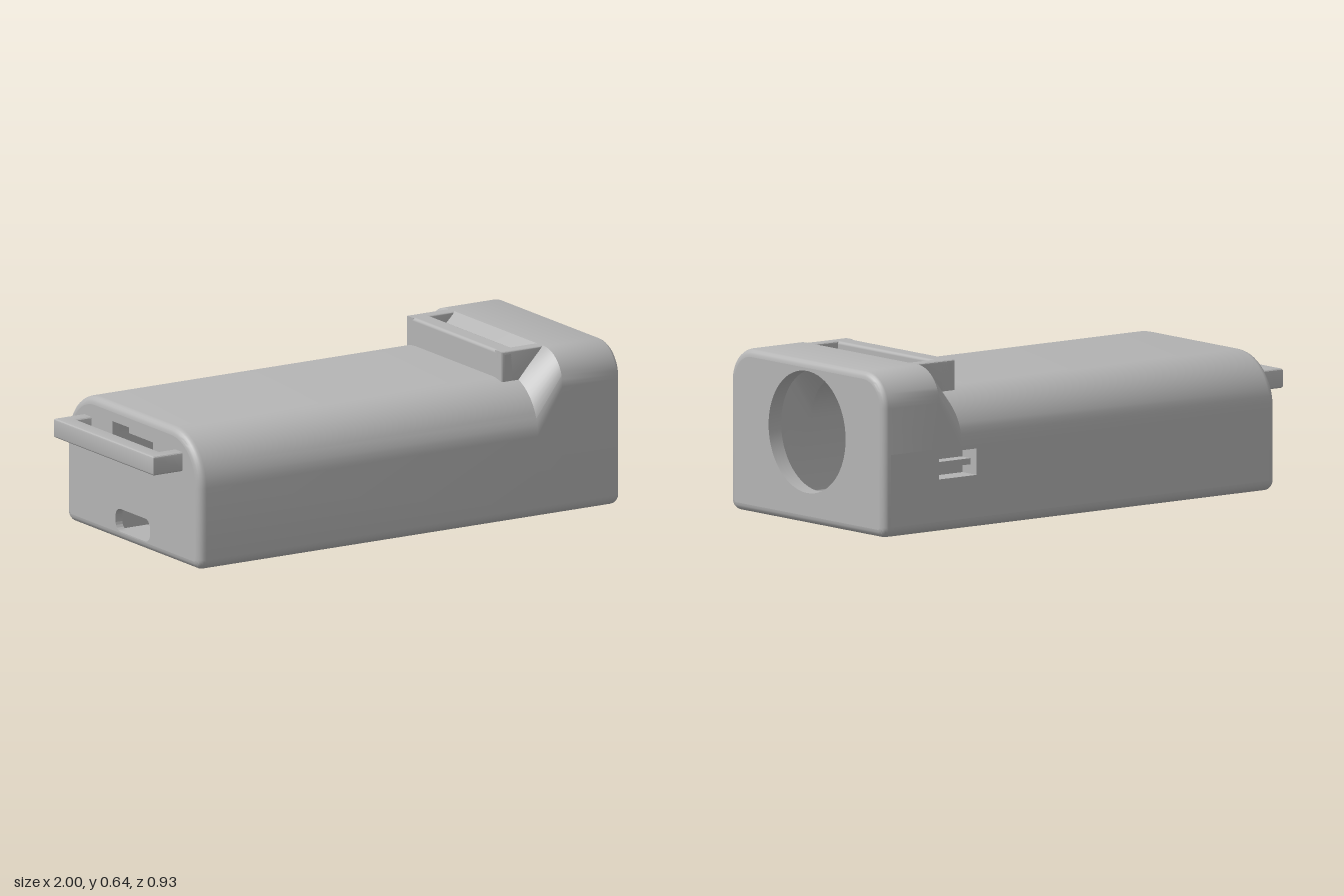
import * as THREE from 'three';
import { toCreasedNormals } from 'three/addons/utils/BufferGeometryUtils.js';
import { RoundedBoxGeometry } from 'three/addons/geometries/RoundedBoxGeometry.js';

const grey = new THREE.MeshStandardMaterial({ color: 0xb4b4b4, side: THREE.DoubleSide });
grey.name = 'grey plastic';

const W = 0.465, BOTTOM = 0.025, BOTTOM_R = 0.04, SIDE_TOP = 0.34, FILLET = 0.03, WALL = 0.03;
const LOW = { top: 0.54, r: 0.2 };    // main body section
const HIGH = { top: 0.645, r: 0.13 }; // raised head section

// Half the section runs bottom to top; the mirror completes it. Points are [z, y].
function section({ top, r }, inset) {
  const half = [];
  const arc = (cz, cy, rad, from, n) => {
    for (let i = 0; i <= n; i++) {
      const a = from + (i / n) * Math.PI / 2;
      half.push([cz + rad * Math.cos(a), cy + rad * Math.sin(a)]);
    }
  };
  arc(W - BOTTOM_R, BOTTOM + BOTTOM_R, BOTTOM_R - inset, -Math.PI / 2, 6);
  half.push([W - inset, SIDE_TOP]);
  arc(W - r, top - r, r - inset, 0, 14);
  return [...half, ...half.slice().reverse().map(([z, y]) => [-z, y])];
}

// Skin lofted along x, leaving out the floor and right side where panels go
function loft(stations) {
  const rings = stations.map(s => section(s.form, s.inset));
  const n = rings[0].length, pos = [], idx = [];
  rings.forEach((ring, i) => ring.forEach(([z, y]) => pos.push(stations[i].x, y, z)));
  for (let i = 0; i < rings.length - 1; i++) {
    for (let j = 0; j < n; j++) {
      const flat = stations[i].flat && stations[i + 1].flat;
      if (flat && (j === n - 1 || j === n - 8)) continue;
      const a = i * n + j, b = i * n + (j + 1) % n, c = a + n, d = b + n;
      idx.push(a, c, b, b, c, d);
    }
  }
  const g = new THREE.BufferGeometry();
  g.setAttribute('position', new THREE.Float32BufferAttribute(pos, 3));
  g.setIndex(idx);
  return toCreasedNormals(g, 0.5);
}

const polygon = pts => new THREE.Shape(pts.map(p => new THREE.Vector2(p[0], p[1])));
const rect = (x0, y0, x1, y1) => polygon([[x0, y0], [x1, y0], [x1, y1], [x0, y1]]);
function circle(x, y, r) {
  return new THREE.Shape().absarc(x, y, r, 0, Math.PI * 2, false);
}
function slot(x0, y0, x1, y1, r) {
  const s = new THREE.Shape();
  s.absarc(x1 - r, y0 + r, r, -Math.PI / 2, 0, false);
  s.absarc(x1 - r, y1 - r, r, 0, Math.PI / 2, false);
  s.absarc(x0 + r, y1 - r, r, Math.PI / 2, Math.PI, false);
  s.absarc(x0 + r, y0 + r, r, Math.PI, Math.PI * 1.5, false);
  s.closePath();
  return s;
}
function plate(shape, holes, depth, bevel = 0) {
  shape.holes.push(...holes);
  const g = new THREE.ExtrudeGeometry(shape, {
    depth: depth - 2 * bevel, curveSegments: 32, bevelEnabled: bevel > 0,
    bevelSize: bevel, bevelThickness: bevel, bevelOffset: -bevel, bevelSegments: 3,
  });
  return toCreasedNormals(g.translate(0, 0, bevel), 0.5);
}

export function createModel() {
  const model = new THREE.Group();
  model.name = 'deviceCase';
  const add = (name, geometry, x = 0, y = 0, z = 0) => {
    const m = new THREE.Mesh(geometry, grey);
    m.name = name;
    m.position.set(x, y, z);
    model.add(m);
    return m;
  };
  const box = (name, x0, x1, y0, y1, z0, z1) => add(name,
    new THREE.BoxGeometry(x1 - x0, y1 - y0, z1 - z0), (x0 + x1) / 2, (y0 + y1) / 2, (z0 + z1) / 2);

  // Outer skin with rounded ends
  const stations = [];
  const STEPS = 5;
  for (let i = 0; i <= STEPS; i++) {
    const a = (i / STEPS) * Math.PI / 2;
    stations.push({ x: -0.87 + FILLET * (1 - Math.sin(a)), inset: FILLET * (1 - Math.cos(a)), form: LOW, flat: i === 0 });
  }
  stations.reverse();
  stations.forEach(s => { s.x = -0.87 + FILLET - (s.x + 0.87 - FILLET) * -1; });
  const rear = stations.sort((p, q) => p.x - q.x);
  const front = rear.map(s => ({ ...s, x: 0.13 - s.x, form: HIGH })).reverse();
  add('outerShell', loft([...rear,
    { x: 0.63, inset: 0, form: LOW, flat: true }, { x: 0.74, inset: 0, form: HIGH, flat: true }, ...front]));

  // Inner skin
  add('innerShell', loft([[-0.84, LOW], [0.63, LOW], [0.74, HIGH], [0.97, HIGH]]
    .map(([x, form]) => ({ x, form, inset: WALL, flat: true }))));

  // End walls: lens opening at the head, port and clip window at the tail
  const lensWall = plate(polygon(section(HIGH, FILLET)), [circle(0, 0.373, 0.231)], 0.06);
  add('lensWall', lensWall.rotateY(Math.PI / 2), 0.94);
  const tailWall = plate(polygon(section(LOW, FILLET)),
    [slot(-0.12, 0.06, 0.12, 0.148, 0.035), rect(-0.14, 0.4, 0.14, 0.475)], WALL);
  add('tailWall', tailWall.rotateY(Math.PI / 2), -0.87);

  // Floor with an H-shaped flex slit, a square opening and two pinholes
  const slit = polygon([
    [0.03, -0.168], [0.58, -0.168], [0.58, -0.155], [0.306, -0.155], [0.306, 0.155], [0.58, 0.155],
    [0.58, 0.168], [0.03, 0.168], [0.03, 0.155], [0.294, 0.155], [0.294, -0.155], [0.03, -0.155]]);
  const floor = plate(rect(-0.84, -W + BOTTOM_R, 0.97, W - BOTTOM_R),
    [slit, rect(0.765, 0.305, 0.845, 0.395), circle(-0.65, -0.22, 0.014), circle(-0.76, -0.22, 0.014)], WALL);
  add('floor', floor.rotateX(Math.PI / 2), 0, BOTTOM + WALL);
  box('floorPocket', 0.75, 0.86, 0.085, 0.1, 0.29, 0.41);

  // Triangular press pads under the floor
  for (const [base, tip] of [[0.235, 0.105], [0.36, 0.49]]) {
    const pad = plate(polygon([[base, -0.075], [tip, 0], [base, 0.075]]), [], 0.03);
    add('pressPad', pad.rotateX(Math.PI / 2), 0, 0.03);
  }

  // Right side panel with its switch recess
  add('sidePanel', plate(rect(-0.84, BOTTOM + BOTTOM_R, 0.97, SIDE_TOP),
    [rect(0.56, 0.225, 0.74, 0.325)], WALL), 0, 0, -W);
  add('recessFrame', plate(rect(0.53, 0.17, 0.77, 0.41),
    [rect(0.56, 0.225, 0.74, 0.325)], 0.06), 0, 0, -0.44);
  box('switchHousing', 0.53, 0.77, 0.17, 0.41, -0.38, -0.2);
  box('switchRib', 0.565, 0.735, 0.262, 0.285, -0.435, -0.38);

  // Tail strap loop
  const tailLoop = plate(polygon([[-1, -0.345], [-0.85, -0.345], [-0.85, -0.285], [-0.935, -0.285],
    [-0.935, 0.285], [-0.85, 0.285], [-0.85, 0.345], [-1, 0.345]]), [], 0.075, 0.01);
  add('tailLoop', tailLoop.rotateX(Math.PI / 2), 0, 0.46);

  // Top strap loop bridging the head's slope
  add('topLoopBar', new RoundedBoxGeometry(0.075, 0.135, 0.66, 3, 0.012), 0.5925, 0.5775, 0);
  for (const z of [-0.33, 0.28]) {
    add('topLoopArm', plate(polygon([[0.555, 0.51], [0.63, 0.5], [0.74, 0.645], [0.555, 0.645]]),
      [], 0.05, 0.008), 0, 0, z);
  }

  // Interior clip tab and support rails
  box('clipTab', -0.8, -0.77, 0.42, 0.51, -0.135, 0.135);
  for (const s of [-1, 1]) {
    box('supportRail', -0.84, -0.5, 0.055, 0.215, s * 0.17 - 0.03, s * 0.17 + 0.03);
  }
  return model;
}
